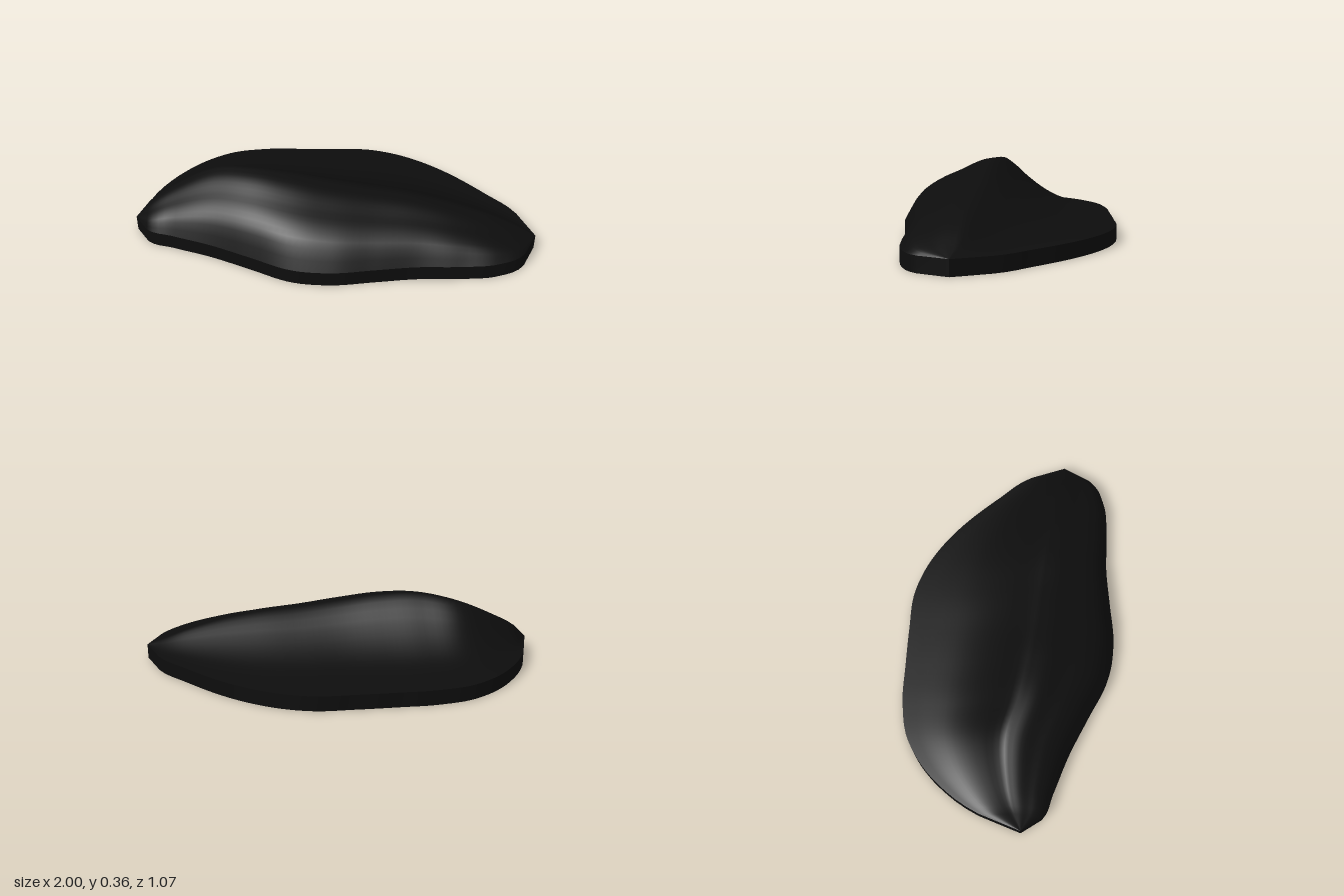
import * as THREE from 'three';

const EDGE = 0.075; // height of the rim wall

// Stations along the length: x, back edge z, ridge z, front edge z, ridge height
const STATIONS = [
  [-1, 0.11, 0.11, 0.11, 0.078],
  [-0.93, -0.1, 0.07, 0.21, 0.15],
  [-0.8, -0.31, 0.03, 0.26, 0.23],
  [-0.6, -0.475, 0.01, 0.33, 0.32],
  [-0.4, -0.527, 0.06, 0.42, 0.355],
  [-0.2, -0.533, 0.09, 0.51, 0.345],
  [0, -0.534, 0.11, 0.53, 0.315],
  [0.2, -0.527, 0.125, 0.505, 0.285],
  [0.4, -0.455, 0.145, 0.48, 0.26],
  [0.6, -0.315, 0.17, 0.475, 0.22],
  [0.8, -0.11, 0.19, 0.45, 0.16],
  [0.93, 0.05, 0.21, 0.37, 0.105],
  [1, 0.23, 0.23, 0.23, EDGE],
];

// Height fraction from ridge (0) to edge (1): concave behind, convex in front
const BACK = [[0, 1], [0.1, 0.85], [0.2, 0.66], [0.385, 0.37], [0.57, 0.167], [0.77, 0.055], [1, 0]];
const FRONT = [[0, 1], [0.23, 0.95], [0.465, 0.8], [0.7, 0.64], [0.86, 0.43], [1, 0]];

// Smooth interpolation of table rows by their first column
function smooth(table) {
  const size = table[0].length - 1;
  const curve = new THREE.CubicInterpolant(
    table.map((r) => r[0]), table.flatMap((r) => r.slice(1)), size, new Float32Array(size));
  return (t) => Array.from(curve.evaluate(t));
}

// Surface through rows of points
function grid(rows) {
  const n = rows[0].length;
  const index = [];
  for (let i = 0; i < rows.length - 1; i++) {
    for (let j = 0; j < n - 1; j++) {
      const a = i * n + j;
      index.push(a, a + 1, a + n, a + 1, a + n + 1, a + n);
    }
  }
  const geometry = new THREE.BufferGeometry();
  geometry.setAttribute('position', new THREE.Float32BufferAttribute(rows.flat(2), 3));
  geometry.setIndex(index);
  geometry.computeVertexNormals();
  return geometry;
}

export function createModel() {
  const group = new THREE.Group();
  group.name = 'moundedShell';
  const material = new THREE.MeshStandardMaterial({ color: 0x0d0d0d });
  const station = smooth(STATIONS);
  const back = smooth(BACK);
  const front = smooth(FRONT);

  // Blunt straight tips, finely divided in between
  const xs = [-1];
  for (let i = 0; i <= 60; i++) xs.push(-0.93 + (1.86 * i) / 60);
  xs.push(1);
  const sections = xs.map((x) => [x, ...station(x)]);

  const add = (name, section) => {
    const mesh = new THREE.Mesh(grid(sections.map(section)), material);
    mesh.name = name;
    group.add(mesh);
  };

  // Domed top, running from the back edge over the ridge to the front edge
  const steps = 16;
  add('domedTop', ([x, zb, zr, zf, top]) => {
    const row = [];
    for (let j = -steps; j <= steps; j++) {
      const t = Math.abs(j) / steps;
      const [h] = j < 0 ? back(t) : front(t);
      row.push([x, EDGE + (top - EDGE) * h, zr + ((j < 0 ? zb : zf) - zr) * t]);
    }
    return row;
  });

  // Upright rim and flat underside
  add('frontRim', ([x, , , zf, top]) => [[x, Math.min(EDGE, top), zf], [x, 0, zf]]);
  add('underside', ([x, zb, , zf]) => [[x, 0, zf], [x, 0, zb]]);
  add('backRim', ([x, zb, , , top]) => [[x, 0, zb], [x, Math.min(EDGE, top), zb]]);

  return group;
}
